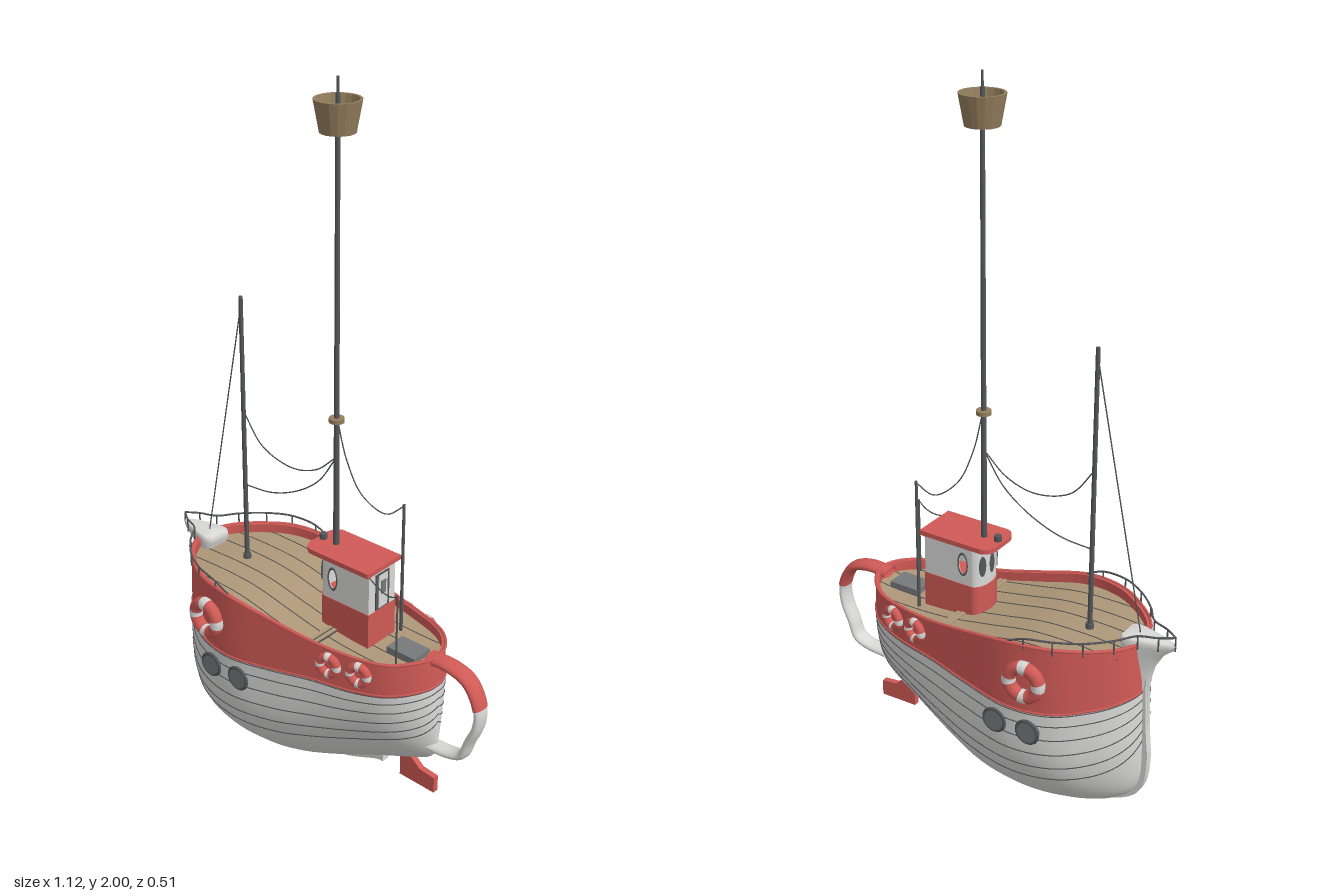
import * as THREE from 'three';

const V = (x, y, z = 0) => new THREE.Vector3(x, y, z);
const lerp = THREE.MathUtils.lerp;
const mat = (name, color) => new THREE.MeshStandardMaterial({ name, color, side: THREE.DoubleSide });

// Hull curves, sampled evenly from bow (0) to stern (1)
const along = (vals) => {
  const it = new THREE.CubicInterpolant(vals.map((_, i) => i / (vals.length - 1)), vals, 1);
  return (t) => it.evaluate(t)[0];
};
const breadth = along([0, 0.072, 0.138, 0.195, 0.213, 0.194, 0.17, 0.148, 0.118, 0.062, 0]);
const bottom = along([0.17, 0.088, 0.037, 0.014, 0.004, 0.015, 0.055, 0.108, 0.15, 0.185, 0.235]);
const sheer = along([0.57, 0.572, 0.575, 0.578, 0.572, 0.545, 0.52, 0.512, 0.512, 0.518, 0.52]);
const border = along([0.42, 0.41, 0.395, 0.38, 0.375, 0.385, 0.4, 0.405, 0.415, 0.425, 0.43]);
const N = 96;
const fold = (i) => { const t = (2 * i) / N; return t > 1 ? 2 - t : t; };
const stationX = (t) => -0.484 + 0.448 * (1 - Math.cos(Math.PI * t));
const tAtX = (x) => Math.acos(THREE.MathUtils.clamp(1 - (x + 0.484) / 0.448, -1, 1)) / Math.PI;
const borderV = (t) => (border(t) - bottom(t)) / (sheer(t) - bottom(t));

// Point on the hull skin: i goes round the outline, v goes from keel to sheer
function hullPoint(i, v) {
  const t = fold(i), s = (1 - Math.cos(Math.PI * t)) / 2;
  const aft = THREE.MathUtils.smoothstep(s, 0.45, 1);
  const k = Math.min(1, v / lerp(0.46, 0.85, aft));
  const full = Math.pow(Math.sqrt(1 - (1 - k) ** 2), lerp(1, 1.5, aft));
  const z = breadth(t) * full * (1 + 0.02 * Math.sin(Math.PI * v));
  return V(stationX(t) + v * lerp(0.015, -0.012, s), lerp(bottom(t), sheer(t), v), i > N / 2 ? -z : z);
}
const ring = (fn) => Array.from({ length: N }, (_, i) => fn(i));

// Skin over a list of closed rings
function loft(rings) {
  const n = rings[0].length, idx = [];
  for (let j = 0; j < rings.length - 1; j++)
    for (let i = 0; i < n; i++) {
      const a = j * n + i, b = j * n + ((i + 1) % n);
      idx.push(a, b, a + n, b, b + n, a + n);
    }
  const g = new THREE.BufferGeometry().setFromPoints(rings.flat());
  g.setIndex(idx);
  g.computeVertexNormals();
  return g;
}
const tube = (pts, r, seg = 32, closed = false, sides = 6) =>
  new THREE.TubeGeometry(new THREE.CatmullRomCurve3(pts, closed), seg, r, sides, closed);
const extrude = (shape, depth) => new THREE.ExtrudeGeometry(shape, { depth, bevelEnabled: false, curveSegments: 16 });
const poly = (pts) => new THREE.Shape(pts.map(([x, y]) => new THREE.Vector2(x, y)));

export function createModel() {
  const red = mat('red paint', 0xd05a56), white = mat('white paint', 0xd9d9d8), wood = mat('deck wood', 0xae9778);
  const barrel = mat('barrel wood', 0x957f5e), dark = mat('dark metal', 0x55575a), grey = mat('grey metal', 0x77787a);
  const model = new THREE.Group();
  const add = (name, geo, material, x = 0, y = 0, z = 0, parent = model) => {
    const m = new THREE.Mesh(geo, material);
    m.name = name;
    m.position.set(x, y, z);
    parent.add(m);
    return m;
  };

  // Hull: white planking below, red bulwark above with an inner face
  const steps = Array.from({ length: 19 }, (_, j) => j / 18);
  add('lowerHull', loft(steps.map((k) => ring((i) => hullPoint(i, k * k * (3 - 2 * k) * borderV(fold(i)))))), white);
  const inner = (i, drop) => {
    const p = hullPoint(i, 1);
    return V(-0.035 + (p.x + 0.035) * 0.975, p.y - drop, p.z * 0.95);
  };
  add('bulwark', loft([0, 0.25, 0.5, 0.75, 1].map((k) => ring((i) => hullPoint(i, lerp(borderV(fold(i)), 1, k))))), red);
  add('bulwarkInside', loft([ring((i) => inner(i, 0)), ring((i) => inner(i, 0.04))]), red);
  add('bulwarkCap', loft([ring((i) => hullPoint(i, 1)), ring((i) => inner(i, 0))]), red);
  add('rimRail', tube(ring((i) => hullPoint(i, 1)), 0.0045, 120, true), red);
  add('rubRail', tube(ring((i) => hullPoint(i, borderV(fold(i)))), 0.0035, 120, true), red);
  for (const k of [0.98, 0.89, 0.77, 0.64, 0.51, 0.39])
    add('plankSeam', tube(ring((i) => hullPoint(i, k * borderV(fold(i)))), 0.0019, 120, true, 4), dark);

  // Keel and stem
  const keel = new THREE.Shape();
  keel.moveTo(-0.478, 0.55);
  keel.splineThru([[-0.489, 0.3], [-0.497, 0.2], [-0.485, 0.105], [-0.44, 0.052], [-0.35, 0.017], [-0.2, 0],
    [-0.05, 0.008], [0.1, 0.045], [0.2, 0.085], [0.23, 0.09]].map((p) => new THREE.Vector2(...p)));
  [[0.23, 0.15], [0.1, 0.09], [-0.05, 0.05], [-0.2, 0.03], [-0.35, 0.06], [-0.43, 0.11], [-0.46, 0.2], [-0.46, 0.55]]
    .forEach((p) => keel.lineTo(...p));
  add('keel', extrude(keel, 0.024), white, 0, 0, -0.012);
  add('rudder', extrude(poly([[0.29, 0.077], [0.41, 0.073], [0.41, 0.122], [0.36, 0.128], [0.325, 0.158], [0.29, 0.16]]), 0.018),
    red, 0, 0, -0.009);

  // Deck with plank lines, cross beams and hatch
  const deckY = (x) => sheer(tAtX(x)) - 0.028;
  const deckEdge = (i, w) => { const p = inner(i, 0); return V(p.x, deckY(p.x), p.z * w); };
  add('deck', loft([1, 0].map((w) => ring((i) => deckEdge(i, w)))), wood);
  for (const z of [0.035, 0.093, 0.155])
    for (const s of [-1, 1]) {
      const xs = [...Array(41).keys()].map((j) => -0.46 + j * 0.0213).filter((x) => breadth(tAtX(x)) * 0.95 > z + 0.003);
      add('deckSeam', tube(xs.map((x) => V(x, deckY(x) + 0.0005, s * z)), 0.0017, 40, false, 4), dark);
    }
  for (const x of [0.074, 0.089]) {
    add('crossBeam', new THREE.BoxGeometry(0.011, 0.01, 0.32), wood, x, deckY(x) + 0.001, 0);
    add('beamSeam', new THREE.BoxGeometry(0.002, 0.008, 0.32), dark, x + 0.0065, deckY(x), 0);
  }
  add('hatch', new THREE.BoxGeometry(0.095, 0.025, 0.068), grey, 0.3, deckY(0.3) + 0.006, 0);

  // Spout at the bow
  const teardrop = ([y, xf, xb, w]) => {
    const half = [[0, 0], [0.06, 0.22], [0.25, 0.5], [0.5, 0.76], [0.75, 0.97], [0.9, 1], [1, 0.75]];
    const side = half.map(([k, h]) => V(lerp(xf, xb, k), y, w * h));
    return [...side, ...side.slice(1).reverse().map((p) => V(p.x, p.y, -p.z))];
  };
  add('spout', loft([[0.3, -0.491, -0.46, 0.012], [0.38, -0.489, -0.45, 0.017], [0.45, -0.491, -0.44, 0.025],
    [0.5, -0.503, -0.43, 0.035], [0.54, -0.525, -0.42, 0.042], [0.565, -0.553, -0.41, 0.045],
    [0.58, -0.56, -0.41, 0.044], [0.586, -0.55, -0.415, 0.038], [0.588, -0.45, -0.45, 0]].map(teardrop)), white);

  // Handle at the stern: red above, white below
  const grip = new THREE.CatmullRomCurve3([[0.375, 0.507], [0.45, 0.508], [0.507, 0.487], [0.544, 0.42], [0.542, 0.36],
    [0.518, 0.3], [0.499, 0.25], [0.465, 0.233], [0.39, 0.225]].map((p) => V(...p))).getPoints(40);
  add('handleTop', tube(grip.slice(0, 16), 0.0145, 24, false, 16).scale(1, 1, 1.95), red);
  add('handleBottom', tube(grip.slice(15), 0.013, 32, false, 16).scale(1, 1, 2), white);

  // Wheelhouse
  const plan = (x0, x1, h, r) => {
    const s = new THREE.Shape();
    s.moveTo(x1, -h);
    s.lineTo(x1, h);
    s.lineTo(x0 + r, h);
    s.absellipse(x0 + r, 0, r, h, Math.PI / 2, Math.PI * 1.5, false);
    return s;
  };
  const cabin = new THREE.Group();
  cabin.name = 'wheelhouse';
  model.add(cabin);
  add('cabinBase', extrude(plan(0.018, 0.206, 0.057, 0.03), 0.11).rotateX(-Math.PI / 2), red, 0, 0.48, 0, cabin);
  const roof = new THREE.Shape();
  roof.moveTo(0.212, -0.07);
  roof.lineTo(0.212, 0.07);
  roof.lineTo(0.01, 0.07);
  roof.quadraticCurveTo(-0.015, 0.065, -0.02, 0.035);
  roof.lineTo(-0.02, -0.035);
  roof.quadraticCurveTo(-0.015, -0.065, 0.01, -0.07);
  add('cabinRoof', extrude(roof, 0.014).rotateX(-Math.PI / 2), red, 0, 0.713, 0, cabin);
  add('cabinFront', new THREE.CylinderGeometry(1, 1, 0.125, 24, 1, true, Math.PI, Math.PI).scale(0.03, 1, 0.055),
    white, 0.05, 0.6525, 0, cabin);
  const wall = poly([[0.05, 0.59], [0.205, 0.59], [0.205, 0.715], [0.05, 0.715]]);
  wall.holes.push(new THREE.Path().absellipse(0.077, 0.653, 0.015, 0.032, 0, Math.PI * 2));
  const frame = new THREE.TorusGeometry(1, 0.12, 6, 24).scale(0.0155, 0.033, 0.02);
  for (const s of [-1, 1]) {
    add('cabinSide', extrude(wall, 0.005), white, 0, 0, s * 0.0525 - 0.0025, cabin);
    add('windowFrame', frame, dark, 0.077, 0.653, s * 0.055, cabin);
  }
  add('cabinBack', new THREE.BoxGeometry(0.005, 0.125, 0.11), white, 0.2025, 0.6525, 0, cabin);
  add('door', new THREE.BoxGeometry(0.004, 0.11, 0.056), dark, 0.206, 0.648, 0, cabin);
  add('doorPanel', new THREE.BoxGeometry(0.004, 0.1, 0.036), white, 0.208, 0.648, 0, cabin);
  add('doorWindow', new THREE.BoxGeometry(0.003, 0.04, 0.02), grey, 0.21, 0.66, 0, cabin);
  for (const z of [-0.036, 0, 0.036]) {
    const x = 0.05 - 0.032 * Math.sqrt(1 - (z / 0.057) ** 2);
    const w = add('frontWindow', new THREE.CircleGeometry(1, 20).scale(0.012, 0.032, 1), dark, x - 0.002, 0.653, z, cabin);
    w.rotation.y = Math.atan2((x - 0.05) / 0.0009, z / 0.003);
  }
  add('lamp', new THREE.CylinderGeometry(0.011, 0.011, 0.016, 12), dark, -0.004, 0.735, 0, cabin);

  // Masts, poles and lookout barrel
  const pole = (name, x, z, y0, y1, r) =>
    add(name, new THREE.CylinderGeometry(r * 0.85, r, y1 - y0, 10), dark, x, (y0 + y1) / 2, z);
  pole('mainMast', 0.042, 0, 0.7, 1.1, 0.009);
  pole('upperMast', 0.042, 0, 1.1, 1.96, 0.0075);
  pole('mastTip', 0.042, 0, 1.94, 2, 0.004);
  pole('foreMast', -0.3, 0, 0.54, 1.36, 0.007);
  pole('foreMastFoot', -0.3, 0, 0.54, 0.565, 0.013);
  pole('sternPole', 0.215, -0.075, 0.48, 0.88, 0.005);
  pole('smallPole', 0.33, 0.09, 0.48, 0.72, 0.003);
  add('mastCollar', new THREE.CylinderGeometry(0.021, 0.021, 0.012, 16), barrel, 0.042, 1.102, 0);
  add('lookoutBarrel', new THREE.LatheGeometry([[0, 1.866], [0.046, 1.866], [0.061, 1.947], [0.054, 1.947], [0.042, 1.882]]
    .map((p) => new THREE.Vector2(...p)), 18).toNonIndexed(), barrel, 0.042, 0, 0).geometry.computeVertexNormals();
  add('barrelFloor', new THREE.CylinderGeometry(0.043, 0.043, 0.006, 18), wood, 0.042, 1.881, 0);

  // Rigging
  [[[-0.3, 1.335, 0], [-0.455, 0.58, 0]],
    [[-0.3, 1.02, 0], [-0.23, 0.935, 0], [-0.12, 0.905, 0], [-0.03, 0.93, 0], [0.035, 0.985, 0]],
    [[-0.3, 0.79, 0], [-0.2, 0.8, 0], [-0.1, 0.84, 0], [-0.02, 0.9, 0], [0.035, 0.98, 0]],
    [[0.045, 1.1, 0], [0.07, 0.98, -0.012], [0.11, 0.885, -0.03], [0.17, 0.842, -0.056], [0.215, 0.875, -0.075]],
    [[0.205, 0.715, 0.06], [0.26, 0.7, 0.073], [0.3, 0.702, 0.083], [0.33, 0.717, 0.09]]]
    .forEach((pts) => add('rope', tube(pts.map((p) => V(...p)), 0.0019, 28, false, 5), dark));

  // Bow railing with posts
  for (const s of [-1, 1]) {
    const rail = [[-0.17, 0.575, 0.21], [-0.22, 0.597, 0.21], [-0.3, 0.606, 0.195], [-0.37, 0.606, 0.157],
      [-0.43, 0.606, 0.1], [-0.47, 0.606, 0.046], [-0.52, 0.606, 0.025], [-0.557, 0.606, 0]].map(([x, y, z]) => V(x, y, s * z));
    add('bowRail', tube(rail, 0.0028, 40), dark);
    for (const p of rail.slice(1)) pole('railPost', p.x, p.z, 0.565, p.y, 0.0025);
  }

  // Lifebuoys and portholes on both sides
  const buoy = (x, y, z, R, r, turn) => {
    const g = new THREE.Group();
    g.name = 'lifebuoy';
    g.position.set(x, y, z);
    g.rotation.y = turn;
    model.add(g);
    for (let q = 0; q < 4; q++) {
      const a = (q * Math.PI) / 2;
      add('redArc', new THREE.TorusGeometry(R, r, 10, 10, 1.13), red, 0, 0, 0, g).rotation.z = a + 0.22;
      add('whiteArc', new THREE.TorusGeometry(R, r * 1.02, 10, 6, 0.44), white, 0, 0, 0, g).rotation.z = a - 0.22;
    }
  };
  for (const s of [-1, 1]) {
    buoy(-0.237, 0.482, s * 0.234, 0.044, 0.019, s * -0.08);
    buoy(0.162, 0.47, s * 0.171, 0.026, 0.0125, s * 0.2);
    buoy(0.252, 0.47, s * 0.152, 0.026, 0.0125, s * 0.22);
    for (const x of [-0.24, -0.135]) {
      add('portholeFrame', new THREE.TorusGeometry(0.033, 0.005, 8, 24), dark, x, 0.315, s * 0.218);
      add('portholeGlass', new THREE.CylinderGeometry(0.032, 0.032, 0.03, 24).rotateX(Math.PI / 2), grey, x, 0.315, s * 0.206);
    }
  }
  return model;
}
